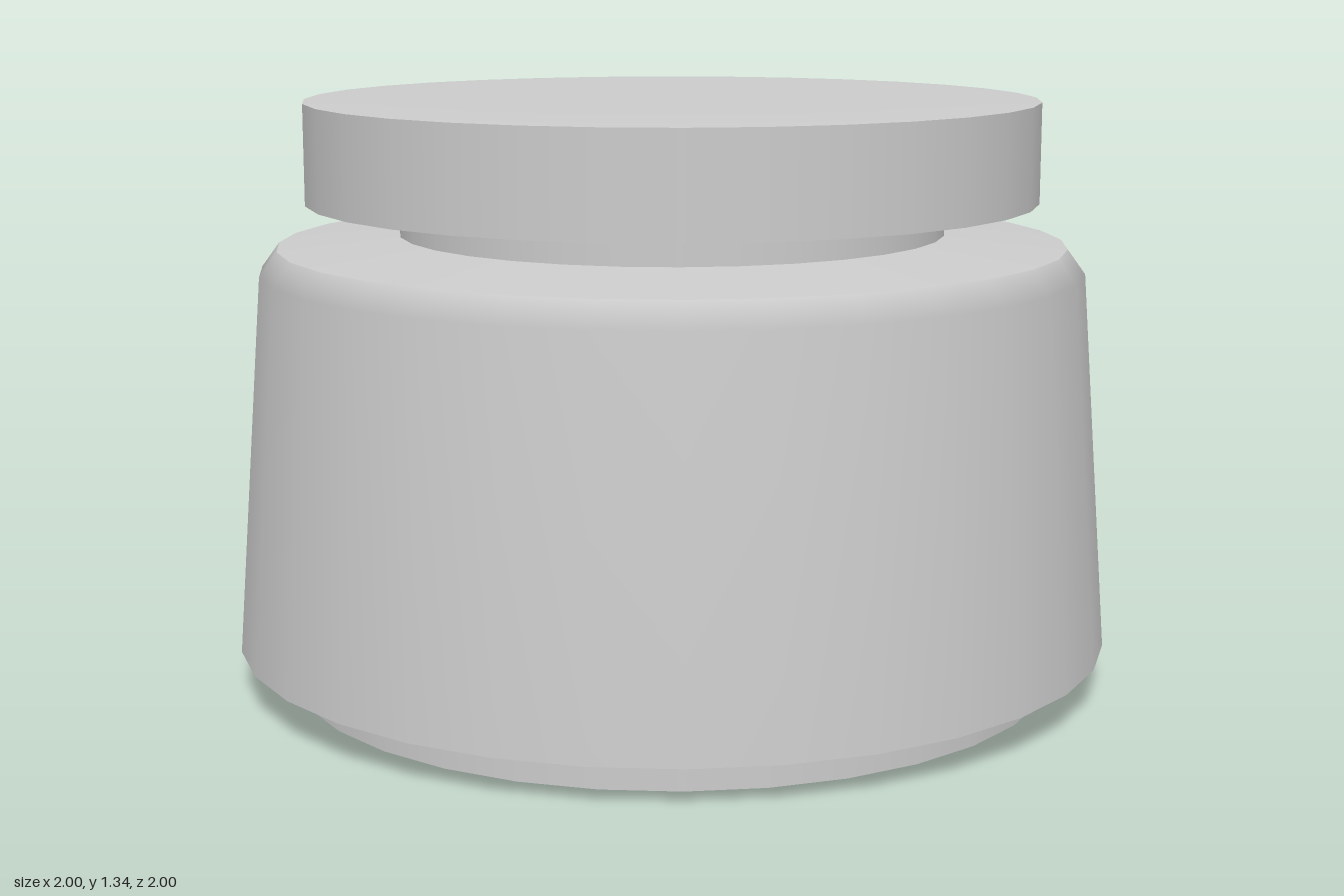
import * as THREE from 'three';
import { mergeGeometries } from 'three/addons/utils/BufferGeometryUtils.js';

const SIDES = 32;

// Each run is a smooth profile [radius, height]; edges between runs stay sharp.
function turned(name, runs, material) {
  const pieces = runs.map((run) =>
    new THREE.LatheGeometry(run.map(([r, y]) => new THREE.Vector2(r, y)), SIDES));
  const mesh = new THREE.Mesh(mergeGeometries(pieces), material);
  mesh.name = name;
  return mesh;
}

export function createModel() {
  const group = new THREE.Group();
  group.name = 'jar';
  const material = new THREE.MeshStandardMaterial({ color: 0xcccccc });

  // Foot ring with a shallow recess underneath
  group.add(turned('foot', [
    [[0, 0.04], [0.775, 0.04]],
    [[0.775, 0.04], [0.775, 0]],
    [[0.775, 0], [0.88, 0]],
    [[0.88, 0], [0.88, 0.07]],
  ], material));

  // Tapered body with a softened shoulder
  group.add(turned('body', [
    [[0.88, 0.07], [1, 0.09]],
    [[1, 0.09], [0.935, 0.945], [0.895, 1]],
    [[0.895, 1], [0.62, 1.025]],
  ], material));

  // Narrow neck between body and lid
  group.add(turned('neck', [
    [[0.62, 1.025], [0.62, 1.09]],
  ], material));

  // Flat disc lid with a barely raised top
  group.add(turned('lid', [
    [[0.62, 1.085], [0.83, 1.1]],
    [[0.83, 1.1], [0.83, 1.325]],
    [[0.83, 1.325], [0.66, 1.335], [0, 1.335]],
  ], material));

  return group;
}
